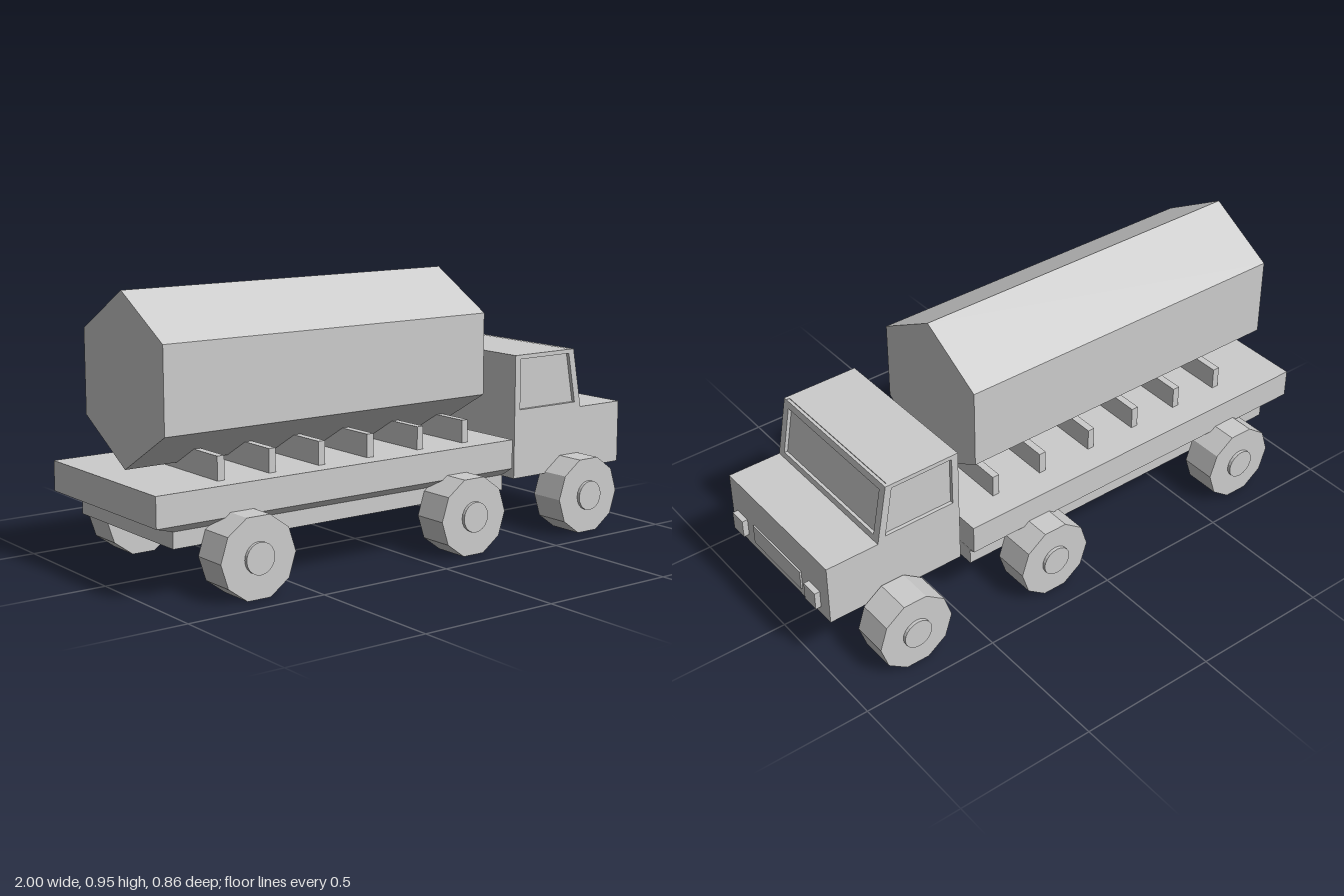
import * as THREE from 'three';

const material = new THREE.MeshStandardMaterial({ color: 0xcccccc, flatShading: true });

function add(parent, name, geometry, x = 0, y = 0, z = 0) {
  const mesh = new THREE.Mesh(geometry, material);
  mesh.name = name;
  mesh.position.set(x, y, z);
  parent.add(mesh);
  return mesh;
}

// Box given by its limits on each axis
function addBox(parent, name, [x0, x1], [y0, y1], [z0, z1]) {
  const geometry = new THREE.BoxGeometry(x1 - x0, y1 - y0, z1 - z0);
  return add(parent, name, geometry, (x0 + x1) / 2, (y0 + y1) / 2, (z0 + z1) / 2);
}

// Flat outline, with an optional hole, given thickness along z
function slab(outline, depth, hole) {
  const toPoints = (list) => list.map(([x, y]) => new THREE.Vector2(x, y));
  const shape = new THREE.Shape(toPoints(outline));
  if (hole) shape.holes.push(new THREE.Path(toPoints(hole)));
  return new THREE.ExtrudeGeometry(shape, { depth, bevelEnabled: false });
}

function createCab() {
  const cab = new THREE.Group();
  cab.name = 'cab';
  const z0 = -0.28, z1 = 0.315, skin = 0.013;
  const profile = (inset) => [
    [0.465, 0.21], [0.98, 0.21], [0.98, 0.435],
    [0.785 - inset, 0.435], [0.745 - inset, 0.65], [0.465, 0.65],
  ];
  const width = z1 - z0 - 2 * skin;
  const middle = (z0 + z1) / 2;

  // Core sits behind the window openings
  add(cab, 'cabBody', slab(profile(skin), width), 0, 0, z0 + skin);

  // Side panels with a window opening
  const sideWindow = [[0.49, 0.455], [0.755, 0.455], [0.722, 0.635], [0.49, 0.635]];
  const side = slab(profile(0), skin, sideWindow);
  add(cab, 'leftCabSide', side, 0, 0, z0);
  add(cab, 'rightCabSide', side, 0, 0, z1 - skin);

  // Sloping windscreen frame
  const tilt = Math.atan2(0.04, 0.215), height = Math.hypot(0.04, 0.215);
  const rectangle = (w, bottom, top) => [[-w, bottom], [w, bottom], [w, top], [-w, top]];
  const frame = slab(rectangle(width / 2, 0, height), skin, rectangle(0.268, 0.021, 0.193));
  frame.rotateX(-tilt).rotateY(Math.PI / 2);
  add(cab, 'windscreenFrame', frame,
    0.785 - skin * Math.cos(tilt), 0.435 - skin * Math.sin(tilt), middle);

  // Headlights and grille
  addBox(cab, 'headlight', [0.975, 1], [0.24, 0.305], [0.22, 0.283]);
  addBox(cab, 'headlight', [0.975, 1], [0.24, 0.305], [-0.227, -0.162]);
  addBox(cab, 'grille', [0.975, 0.986], [0.24, 0.313], [-0.117, 0.173]);
  return cab;
}

function createBed() {
  const bed = new THREE.Group();
  bed.name = 'bed';
  addBox(bed, 'deck', [-1, 0.445], [0.252, 0.355], [-0.33, 0.327]);

  // Underside tapers in to meet the chassis
  const taper = addBox(bed, 'deckUnderside', [-1, 0.445], [0.225, 0.252], [-0.33, 0.327]);
  const p = taper.geometry.attributes.position;
  for (let i = 0; i < p.count; i++) {
    if (p.getY(i) > 0) continue;
    p.setX(i, (p.getX(i) < 0 ? -0.92 : 0.432) - taper.position.x);
    p.setZ(i, Math.sign(p.getZ(i)) * 0.29 - taper.position.z);
  }
  taper.geometry.computeVertexNormals();
  addBox(bed, 'chassis', [-0.92, 0.432], [0.17, 0.226], [-0.29, 0.29]);

  // Cross bars that carry the tank
  for (const x of [-0.725, -0.53, -0.335, -0.135, 0.08, 0.28]) {
    addBox(bed, 'tankSupport', [x - 0.013, x + 0.013], [0.35, 0.435], [-0.235, 0.262]);
  }

  // Six-sided tank with a ridge along the top and bottom
  const tank = new THREE.CylinderGeometry(0.286, 0.286, 1.288, 6);
  tank.rotateX(Math.PI / 2);
  // Turn a corner upward before laying the length along x
  const corner = new THREE.Vector3().fromBufferAttribute(tank.attributes.position, 0);
  tank.rotateZ(Math.PI / 2 - Math.atan2(corner.y, corner.x));
  tank.rotateY(Math.PI / 2);
  add(bed, 'tank', tank, -0.285, 0.66, 0.019);
  return bed;
}

// Ten-sided wheel with a round hub, facing outward on the given side
function createWheel(x, side) {
  const wheel = new THREE.Group();
  wheel.name = 'wheel';
  const tyre = new THREE.CylinderGeometry(0.14, 0.14, 0.129, 10);
  tyre.rotateY(Math.PI / 2).rotateX(Math.PI / 2);
  add(wheel, 'tyre', tyre, 0, 0, side * 0.354);
  const hub = new THREE.CylinderGeometry(0.053, 0.053, 0.05, 20);
  hub.rotateX(Math.PI / 2);
  add(wheel, 'hub', hub, 0, 0, side * 0.405);
  wheel.position.set(x, 0.1335, 0);
  return wheel;
}

export function createModel() {
  const truck = new THREE.Group();
  truck.name = 'tankTruck';
  truck.add(createCab(), createBed());
  for (const [nearX, farX] of [[-0.69, -0.69], [0.19, 0.17], [0.73, 0.745]]) {
    truck.add(createWheel(nearX, 1), createWheel(farX, -1));
  }
  return truck;
}
